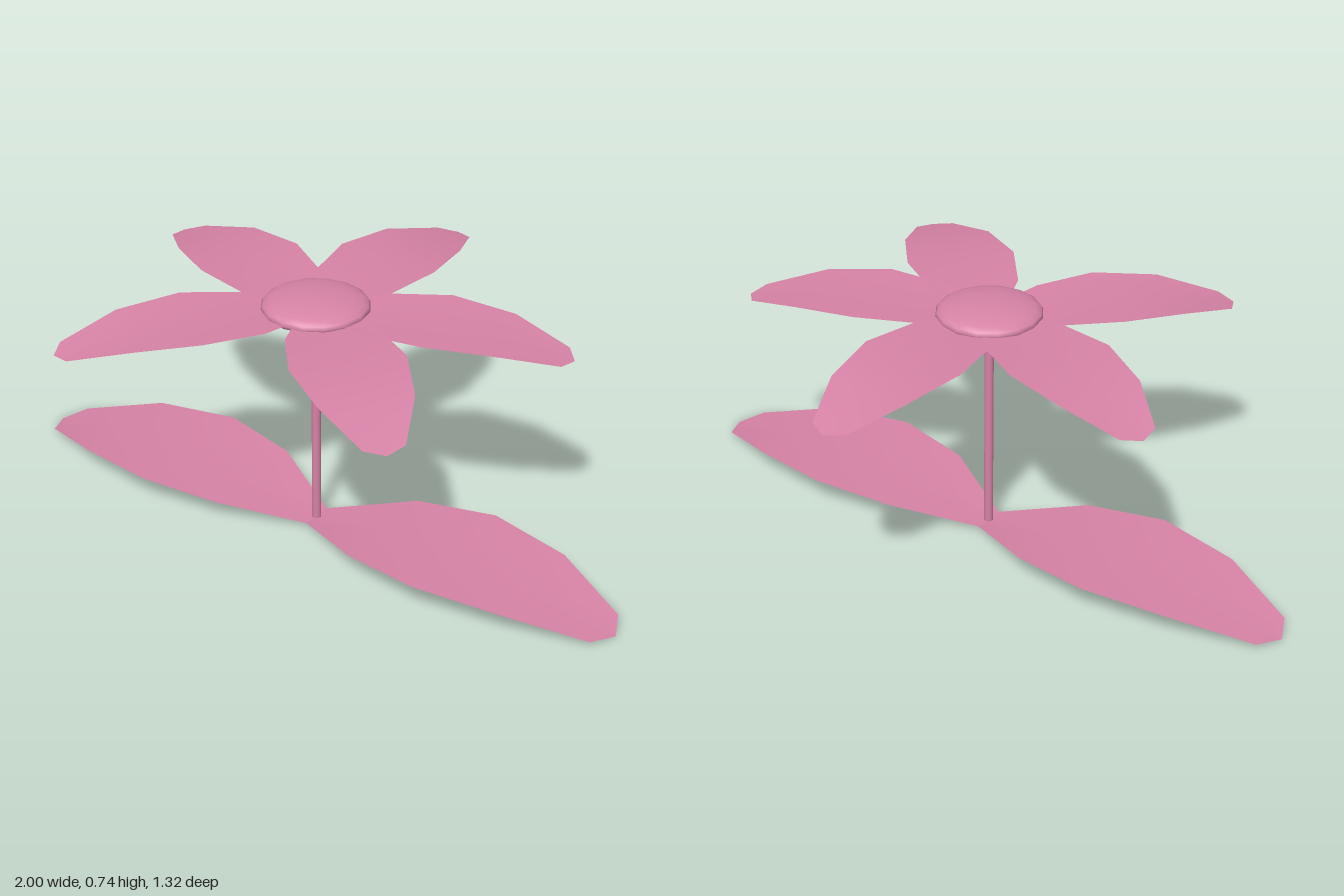
import * as THREE from 'three';

const pink = new THREE.MeshStandardMaterial({ color: 0xd783a6 });
const pinkThin = new THREE.MeshStandardMaterial({ color: 0xd783a6, side: THREE.DoubleSide });

// Blade outline: [distance from base, half width], for a length of 1
const outline = [[0, 0.05], [0.24, 0.177], [0.48, 0.22], [0.735, 0.177], [0.965, 0.078], [1, 0.002]];

// Thin arched blade along +x with a shallow crease down the middle
function blade(name, length, heights, angle) {
  const positions = [], index = [];
  outline.forEach(([t, half], i) => {
    for (const side of [-1, 0, 1]) {
      const crease = side === 0 ? 0.05 * half * length : 0;
      positions.push(t * length, heights[i] - crease, side * half * length);
    }
    if (i === outline.length - 1) return;
    for (let j = 0; j < 2; j++) {
      const a = i * 3 + j, b = a + 1, c = a + 3, d = a + 4;
      index.push(a, b, c, b, d, c);
    }
  });
  const geometry = new THREE.BufferGeometry();
  geometry.setAttribute('position', new THREE.Float32BufferAttribute(positions, 3));
  geometry.setIndex(index);
  geometry.computeVertexNormals();
  const mesh = new THREE.Mesh(geometry, pinkThin);
  mesh.name = name;
  mesh.rotation.y = THREE.MathUtils.degToRad(angle);
  return mesh;
}

export function createModel() {
  const flower = new THREE.Group();
  flower.name = 'flower';

  // Stem
  const stem = new THREE.Mesh(new THREE.CylinderGeometry(0.014, 0.014, 0.69, 10), pink);
  stem.name = 'stem';
  stem.position.y = 0.355;
  flower.add(stem);

  // Flattened flower centre
  const centre = new THREE.Mesh(new THREE.SphereGeometry(0.155, 16, 12), pink);
  centre.name = 'flowerCentre';
  centre.scale.y = 0.24;
  centre.position.y = 0.707;
  flower.add(centre);

  // Petals, spaced a little unevenly
  const petalHeights = [0.7, 0.708, 0.714, 0.7, 0.659, 0.651];
  [90, 18.3, -40, 230.4, 159].forEach((angle, i) =>
    flower.add(blade('petal' + (i + 1), 0.735, petalHeights, angle)));

  // Two ground leaves
  const leafHeights = [0.01, 0.06, 0.077, 0.064, 0.012, 0.001];
  flower.add(blade('leftLeaf', 1, leafHeights, 0), blade('rightLeaf', 1, leafHeights, 180));

  flower.position.z = 0.072;
  const model = new THREE.Group();
  model.add(flower);
  return model;
}
